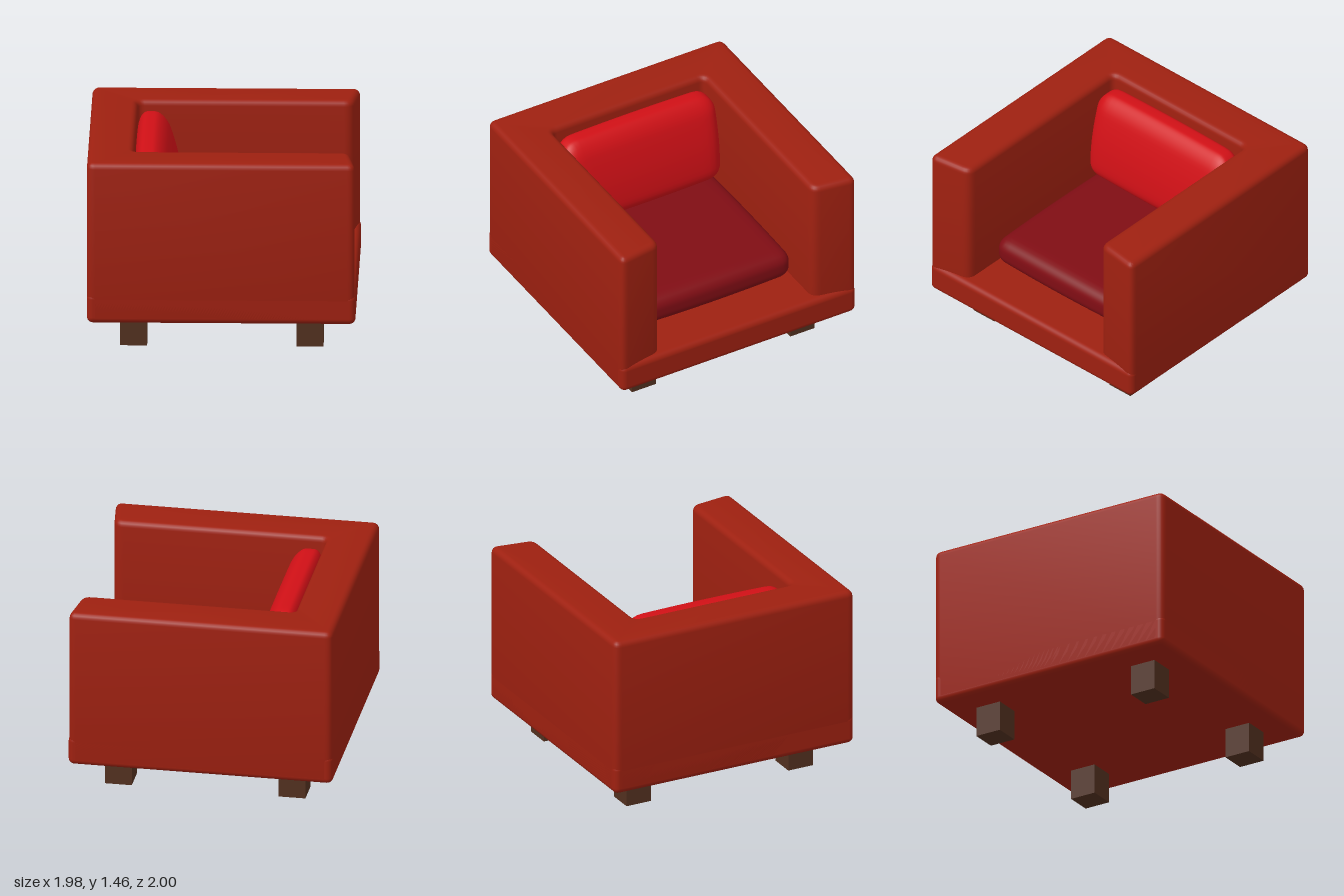
import * as THREE from 'three';
import { mergeVertices, toCreasedNormals } from 'three/addons/utils/BufferGeometryUtils.js';
import { RoundedBoxGeometry } from 'three/addons/geometries/RoundedBoxGeometry.js';

const material = (color) => new THREE.MeshStandardMaterial({ color });

// Closed shape through [x, y, radius] corners, each rounded off
function roundedShape(corners) {
  const shape = new THREE.Shape();
  const n = corners.length;
  const at = (i) => new THREE.Vector2(corners[(i + n) % n][0], corners[(i + n) % n][1]);
  for (let i = 0; i < n; i++) {
    const p = at(i), r = corners[i][2];
    const a = at(i - 1).sub(p).setLength(r).add(p);
    const b = at(i + 1).sub(p).setLength(r).add(p);
    if (i === 0) shape.moveTo(a.x, a.y);
    else shape.lineTo(a.x, a.y);
    shape.quadraticCurveTo(p.x, p.y, b.x, b.y);
  }
  shape.closePath();
  return shape;
}

// Soft cushion: a finely divided box with rounded edges and bulging faces
function cushionGeometry(size, radius, bulge, reshape) {
  const half = new THREE.Vector3(...size).multiplyScalar(0.5);
  let geo = new THREE.BoxGeometry(2, 2, 2, 24, 24, 24);
  geo.deleteAttribute('uv');
  geo.deleteAttribute('normal');
  geo = mergeVertices(geo);
  const pos = geo.attributes.position;
  const v = new THREE.Vector3(), core = new THREE.Vector3();
  const inner = half.clone().subScalar(radius);
  const outer = inner.clone().negate();
  for (let i = 0; i < pos.count; i++) {
    v.fromBufferAttribute(pos, i);
    // Gather the grid lines near the edges
    for (const k of ['x', 'y', 'z']) v[k] = Math.sin(v[k] * Math.PI / 2) * half[k];
    core.copy(v).clamp(outer, inner);
    v.sub(core).setLength(radius).add(core);
    const ux = (v.x / half.x) ** 2, uy = (v.y / half.y) ** 2, uz = (v.z / half.z) ** 2;
    v.x *= 1 - bulge[0] * (uy + uz) / 2;
    v.y *= 1 - bulge[1] * (ux + uz) / 2;
    v.z *= 1 - bulge[2] * (ux + uy) / 2;
    if (reshape) reshape(v, half);
    pos.setXYZ(i, v.x, v.y, v.z);
  }
  geo.computeVertexNormals();
  return geo;
}

export function createModel() {
  const group = new THREE.Group();
  const add = (name, geo, mat, x = 0, y = 0, z = 0) => {
    const mesh = new THREE.Mesh(geo, mat);
    mesh.name = name;
    mesh.position.set(x, y, z);
    group.add(mesh);
  };
  const upholstery = material(0x9e2010);
  const wood = material(0x52301f);

  // Back and both arms in one U; the arm fronts slant back toward the seat
  const walls = roundedShape([
    [-0.99, -1, 0.06], [0.99, -1, 0.06], [0.94, -0.65, 0.07], [-0.65, -0.65, 0.05],
    [-0.65, 0.65, 0.05], [0.94, 0.65, 0.07], [0.99, 1, 0.06], [-0.99, 1, 0.06],
  ]);
  const bevel = 0.045;
  const wallGeo = new THREE.ExtrudeGeometry(walls, {
    depth: 1.23 - 2 * bevel, curveSegments: 6, bevelEnabled: true,
    bevelThickness: bevel, bevelSize: bevel, bevelOffset: -bevel, bevelSegments: 5,
  });
  wallGeo.rotateX(-Math.PI / 2);
  add('backAndArms', toCreasedNormals(wallGeo, 0.7), upholstery, 0, 0.23 + bevel, 0);

  // Seat base between the arms
  add('seatBase', new RoundedBoxGeometry(1.98, 0.23, 2, 5, 0.045), upholstery, 0, 0.345, 0);

  // Loose cushions; the back one thins toward its top
  add('seatCushion', cushionGeometry([1.32, 0.25, 1.29], 0.095, [0.03, 0.12, 0.02]),
    material(0x800d14), 0.03, 0.588, 0);
  add('backCushion', cushionGeometry([0.35, 0.7, 1.29], 0.12, [0.06, 0.05, 0.02], (v, half) => {
    const t = THREE.MathUtils.clamp((v.y / half.y + 1) / 2, 0, 1);
    v.x = -half.x + (v.x + half.x) * (1 - 0.42 * t * t);
  }), material(0xd01016), -0.475, 1.065, 0);

  // Four block legs
  for (const x of [-0.65, 0.65]) {
    for (const z of [-0.675, 0.675]) {
      add('leg', new THREE.BoxGeometry(0.2, 0.24, 0.205), wood, x, 0.12, z);
    }
  }
  return group;
}
